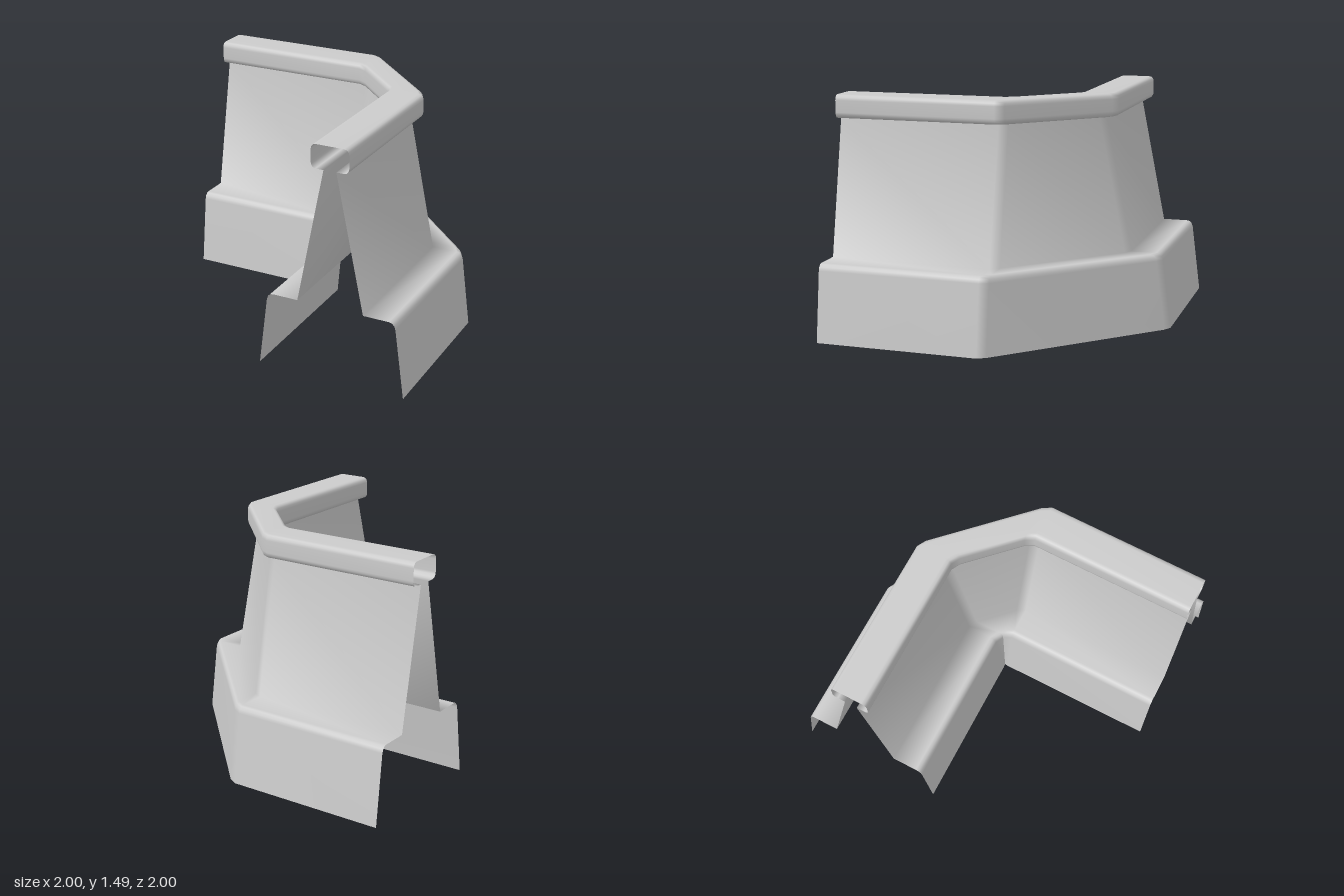
import * as THREE from 'three';

const CENTRE = 0.525; // distance of the wall's centre line from the corner

// Half of the hollow cross-section: [half width, height], foot to cap
const half = [
  [0.475, 0], [0.418, 0.44], [0.41, 0.463], [0.395, 0.478], [0.375, 0.482],
  [0.213, 0.482],
  [0.04, 1.338],
  [0.09, 1.338], [0.108, 1.344], [0.118, 1.36],
  [0.12, 1.375], [0.12, 1.45],
  [0.116, 1.468], [0.105, 1.481], [0.085, 1.485],
];

// Points [x, z] of the chamfered corner path at distance d from the corner
function pathAt(d) {
  let a = 0.085, b = d - 0.03;
  if (b < a) a = b = (a + b) / 2; // tight inside corner closes to a point
  return [[-1, -d], [0.03, -d], [a, -b], [b, -a], [d, -0.03], [d, 1]];
}

// Sweep the open profile along the path, sharing vertices for smooth shading
function sweep(profile) {
  const positions = [], index = [];
  const n = pathAt(CENTRE).length;
  for (const [d, y] of profile) {
    for (const [x, z] of pathAt(d)) positions.push(x, y, z);
  }
  for (let j = 0; j < profile.length - 1; j++) {
    for (let i = 0; i < n - 1; i++) {
      const a = j * n + i, b = a + 1, c = a + n, d = c + 1;
      index.push(a, b, c, b, d, c);
    }
  }
  const geometry = new THREE.BufferGeometry();
  geometry.setAttribute('position', new THREE.Float32BufferAttribute(positions, 3));
  geometry.setIndex(index);
  geometry.computeVertexNormals();
  return geometry;
}

export function createModel() {
  const group = new THREE.Group();
  group.name = 'cornerBarrier';
  const material = new THREE.MeshStandardMaterial({ color: 0xcccccc, side: THREE.DoubleSide });

  // Inner side, then the mirrored outer side back down to the ground
  const inner = half.map(([w, y]) => [CENTRE - w, y]);
  const outer = half.map(([w, y]) => [CENTRE + w, y]).reverse();

  // Base, sloping wall and rounded cap form one continuous shell
  const shell = new THREE.Mesh(sweep([...inner, ...outer]), material);
  shell.name = 'barrierShell';
  group.add(shell);
  return group;
}
